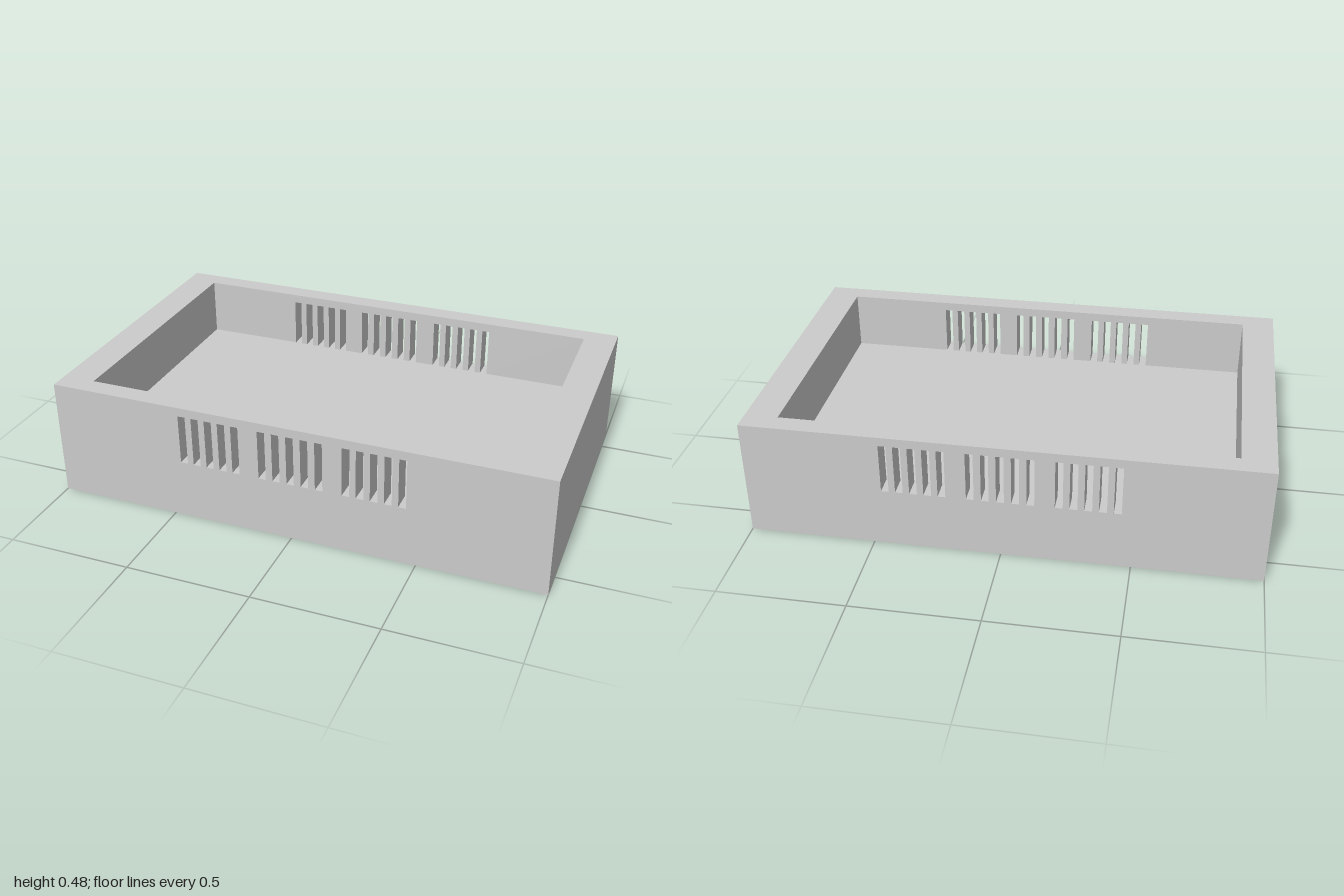
import * as THREE from 'three';

const W = 1, D = 0.612, H = 0.483;        // outer half width, half depth, height
const w = 0.869, d = 0.532, FLOOR = 0.243; // tray half width, half depth, floor level
const SLOT = 0.03, SLOT_TOP = 0.447;

// three groups of five vents, left to right
const slots = [];
for (const [centre, pitch] of [[-0.334, 0.055], [0, 0.0575], [0.332, 0.055]])
  for (let i = -2; i <= 2; i++) slots.push(centre + i * pitch);

const material = new THREE.MeshStandardMaterial({ color: 0xcccccc, side: THREE.DoubleSide, flatShading: true });

const poly = (points) => points.map(([x, y]) => new THREE.Vector2(x, y));
const rect = (x0, y0, x1, y1) => poly([[x0, y0], [x1, y0], [x1, y1], [x0, y1]]);

export function createModel() {
  const model = new THREE.Group();
  const add = (name, geometry, position, rotation = [0, 0, 0], parent = model) => {
    const mesh = new THREE.Mesh(geometry, material);
    mesh.name = name;
    mesh.position.set(...position);
    mesh.rotation.set(...rotation);
    parent.add(mesh);
  };

  // outer long wall, pierced by the vents
  const outer = new THREE.Shape(rect(-W, 0, W, H));
  for (const x of slots)
    outer.holes.push(new THREE.Path(rect(x - SLOT / 2, FLOOR, x + SLOT / 2, SLOT_TOP)));
  const outerGeometry = new THREE.ShapeGeometry(outer);

  // inner long wall, notched where the vents reach the floor
  const outline = [[-w, FLOOR]];
  for (const x of slots) {
    const a = x - SLOT / 2, b = x + SLOT / 2;
    outline.push([a, FLOOR], [a, SLOT_TOP], [b, SLOT_TOP], [b, FLOOR]);
  }
  outline.push([w, FLOOR], [w, H], [-w, H]);
  const innerGeometry = new THREE.ShapeGeometry(new THREE.Shape(poly(outline)));

  // vent linings between the two walls
  const gap = D - d, mid = (D + d) / 2, slotH = SLOT_TOP - FLOOR;
  const cheek = new THREE.PlaneGeometry(gap, slotH);
  const sill = new THREE.PlaneGeometry(SLOT, gap);

  for (const [side, angle] of [['front', 0], ['back', Math.PI]]) {
    const group = new THREE.Group();
    group.name = side + 'Wall';
    group.rotation.y = angle;
    add('outerPanel', outerGeometry, [0, 0, D], [0, 0, 0], group);
    add('innerPanel', innerGeometry, [0, 0, d], [0, 0, 0], group);
    for (const x of slots) {
      for (const s of [-1, 1])
        add('ventSide', cheek, [x + s * SLOT / 2, FLOOR + slotH / 2, mid], [0, -s * Math.PI / 2, 0], group);
      add('ventSill', sill, [x, FLOOR, mid], [-Math.PI / 2, 0, 0], group);
      add('ventTop', sill, [x, SLOT_TOP, mid], [Math.PI / 2, 0, 0], group);
    }
    model.add(group);
  }

  // plain end walls
  for (const s of [-1, 1]) {
    const side = s > 0 ? 'left' : 'right';
    add(side + 'OuterEnd', new THREE.PlaneGeometry(2 * D, H), [s * W, H / 2, 0], [0, s * Math.PI / 2, 0]);
    add(side + 'InnerEnd', new THREE.PlaneGeometry(2 * d, H - FLOOR), [s * w, (H + FLOOR) / 2, 0], [0, -s * Math.PI / 2, 0]);
  }

  // flat rim and raised tray floor; the underside stays open
  const rim = new THREE.Shape(rect(-W, -D, W, D));
  rim.holes.push(new THREE.Path(rect(-w, -d, w, d)));
  add('rim', new THREE.ShapeGeometry(rim), [0, H, 0], [-Math.PI / 2, 0, 0]);
  add('trayFloor', new THREE.PlaneGeometry(2 * w, 2 * d), [0, FLOOR, 0], [-Math.PI / 2, 0, 0]);

  return model;
}
